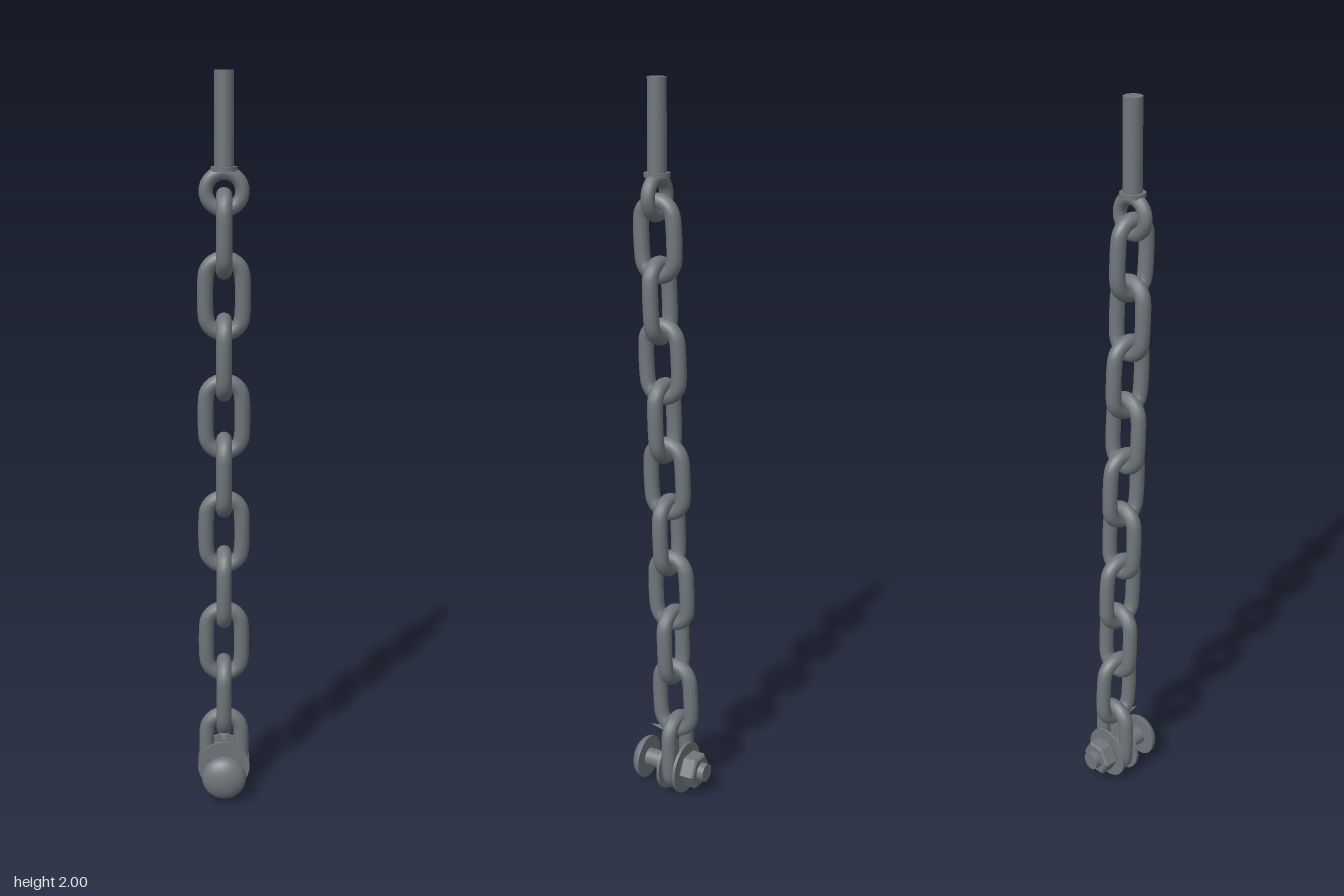
import * as THREE from 'three';

export function createModel() {
  const root = new THREE.Group();
  root.name = 'hangingChain';
  const steel = new THREE.MeshStandardMaterial({ color: 0x70767b });
  steel.name = 'darkSteel';

  const add = (name, geometry, x = 0, y = 0, z = 0) => {
    const mesh = new THREE.Mesh(geometry, steel);
    mesh.name = name;
    mesh.position.set(x, y, z);
    root.add(mesh);
    return mesh;
  };

  // Stadium-shaped link: two half circles joined by straight sides
  const tubeR = 0.021, bendR = 0.048, halfStraight = 0.05;
  const points = [];
  for (const side of [1, -1]) {
    for (let i = 0; i <= 8; i++) {
      const a = (i / 8) * Math.PI + (side < 0 ? Math.PI : 0);
      points.push(new THREE.Vector3(bendR * Math.cos(a), bendR * Math.sin(a) + side * halfStraight, 0));
    }
  }
  const linkPath = new THREE.CatmullRomCurve3(points, true);
  const linkGeometry = new THREE.TubeGeometry(linkPath, 48, tubeR, 12, true);

  // Ten links, alternately turned, leaning slightly backward toward the bottom
  const slope = 0.042;
  for (let i = 0; i < 10; i++) {
    const y = 1.592 - i * 0.1628;
    const link = add('chainLink' + (i + 1), linkGeometry, 0, y, -0.013 + (y - 0.29) * slope);
    link.rotation.order = 'XYZ';
    link.rotation.x = i === 9 ? 0.015 : Math.atan(slope);
    link.rotation.y = i % 2 === 0 ? Math.PI / 2 : 0;
  }

  // Eye bolt at the top
  const rodZ = 0.043;
  add('topRod', new THREE.CylinderGeometry(0.025, 0.025, 0.24, 24), 0, 1.88, rodZ);
  add('rodCollar', new THREE.CylinderGeometry(0.034, 0.034, 0.012, 24), 0, 1.756, rodZ);
  add('eyeRing', new THREE.TorusGeometry(0.047, 0.0185, 12, 32), 0, 1.7, rodZ);

  // Cylinder lying along z between two depths
  const boltY = 0.0745;
  const along = (name, r, zFront, zBack, sides = 28) => {
    const g = new THREE.CylinderGeometry(r, r, zFront - zBack, sides);
    g.rotateX(Math.PI / 2);
    return add(name, g, 0, boltY, (zFront + zBack) / 2);
  };

  // Cross bolt with washers
  along('boltShank', 0.026, 0.08, -0.116);
  along('boltNeck', 0.031, 0.028, 0.008);
  along('frontWasher', 0.0735, 0.008, 0.0, 32);
  along('backWasher', 0.0735, -0.044, -0.052, 32);

  // Domed bolt head
  const dome = [new THREE.Vector2(0, 0), new THREE.Vector2(0.062, 0), new THREE.Vector2(0.062, 0)];
  for (let i = 0; i <= 8; i++) {
    const a = (i / 8) * Math.PI / 2;
    dome.push(new THREE.Vector2(0.062 * Math.cos(a), 0.003 + 0.035 * Math.sin(a)));
  }
  const headGeometry = new THREE.LatheGeometry(dome, 28);
  headGeometry.rotateX(Math.PI / 2);
  add('boltHead', headGeometry, 0, boltY, 0.075);

  // Hexagonal nut, chamfered on its edges
  const hex = new THREE.Shape();
  for (let i = 0; i < 6; i++) {
    const a = (i * Math.PI) / 3;
    hex[i ? 'lineTo' : 'moveTo'](0.045 * Math.cos(a), 0.045 * Math.sin(a));
  }
  hex.closePath();
  const nutGeometry = new THREE.ExtrudeGeometry(hex, {
    depth: 0.035, bevelEnabled: true, bevelThickness: 0.005, bevelSize: 0.005, bevelSegments: 1,
  });
  add('hexNut', nutGeometry, 0, boltY, -0.092);

  // Small flattened spike above the bolt
  const spike = new THREE.ConeGeometry(0.02, 0.07, 12);
  spike.rotateX(Math.PI / 2);
  spike.scale(1, 0.4, 1);
  add('spike', spike, 0, 0.183, 0.035);

  return root;
}
